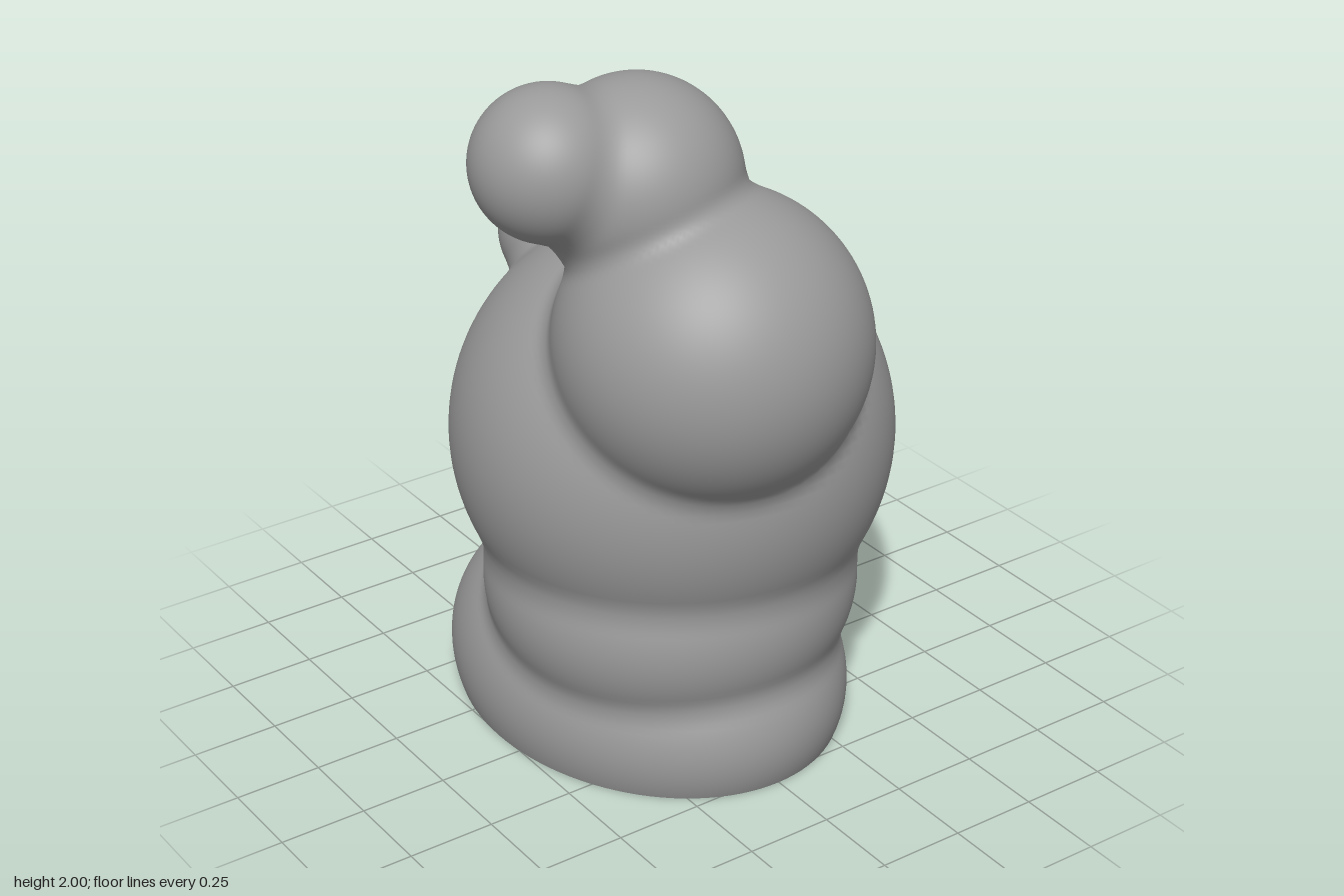
import * as THREE from 'three';
import { mergeVertices } from 'three/addons/utils/BufferGeometryUtils.js';

// Each part is an ellipsoid with a centre and radii
const PARTS = [
  { name: 'base', c: [-0.092, 0.11, 0.005], r: [0.652, 0.42, 0.52] },
  { name: 'waist', c: [0.025, 0.445, 0.005], r: [0.522, 0.42, 0.522] },
  { name: 'belly', c: [-0.01, 0.87, -0.025], r: [0.612, 0.612, 0.612] },
  { name: 'leftShoulder', c: [0.322, 1.285, 0.08], r: [0.422, 0.422, 0.422] },
  { name: 'head', c: [0.13, 1.70, 0.185], r: [0.28, 0.28, 0.28] },
  { name: 'snout', c: [0.097, 1.795, 0.43], r: [0.205, 0.205, 0.205] },
  { name: 'rightArm', c: [-0.472, 1.295, 0.015], r: [0.186, 0.186, 0.186] },
  { name: 'rightHand', c: [-0.465, 1.49, 0.1], r: [0.133, 0.133, 0.133] },
].map((p) => ({ ...p, c: new THREE.Vector3(...p.c), r: new THREE.Vector3(...p.r) }));

const BLEND = 0.055; // width of the soft crease between neighbouring parts

// Approximate signed distance from a point to a part
function distanceTo(part, point) {
  const q = point.clone().sub(part.c).divide(part.r);
  const k = q.length();
  return (k * (k - 1)) / Math.max(q.divide(part.r).length(), 1e-6);
}

// Outward direction of a part at a point
function outward(part, point) {
  return point.clone().sub(part.c).divide(part.r).divide(part.r).normalize();
}

// Normal shared by all parts near a point, so the creases shade softly
function blendedNormal(point) {
  const dist = PARTS.map((part) => distanceTo(part, point));
  const nearest = Math.min(...dist);
  const normal = new THREE.Vector3();
  PARTS.forEach((part, i) => {
    const weight = Math.max(1 - (dist[i] - nearest) / BLEND, 0);
    normal.addScaledVector(outward(part, point), weight * weight);
  });
  return normal.normalize();
}

// Ellipsoid whose skin swells where it meets its neighbours, cut flat at the ground
function blendedBall(part) {
  let geo = new THREE.SphereGeometry(1, 108, 72);
  geo.deleteAttribute('uv');
  geo.deleteAttribute('normal');
  geo = mergeVertices(geo);
  const pos = geo.attributes.position;
  const normals = [];
  const p = new THREE.Vector3();
  for (let i = 0; i < pos.count; i++) {
    p.fromBufferAttribute(pos, i).multiply(part.r).add(part.c);
    let swell = 0;
    for (const other of PARTS) {
      if (other === part) continue;
      const near = Math.max(BLEND - Math.abs(distanceTo(other, p)), 0);
      swell = Math.max(swell, (near * near) / (4 * BLEND));
    }
    p.addScaledVector(outward(part, p), swell);
    const normal = p.y < 0 ? new THREE.Vector3(0, -1, 0) : blendedNormal(p);
    p.y = Math.max(p.y, 0);
    pos.setXYZ(i, p.x, p.y, p.z);
    normals.push(normal.x, normal.y, normal.z);
  }
  geo.setAttribute('normal', new THREE.Float32BufferAttribute(normals, 3));
  return geo;
}

export function createModel() {
  const group = new THREE.Group();
  group.name = 'figure';
  const material = new THREE.MeshStandardMaterial({ color: 0x9a9a9a });
  for (const part of PARTS) {
    const mesh = new THREE.Mesh(blendedBall(part), material);
    mesh.name = part.name;
    group.add(mesh);
  }
  return group;
}
